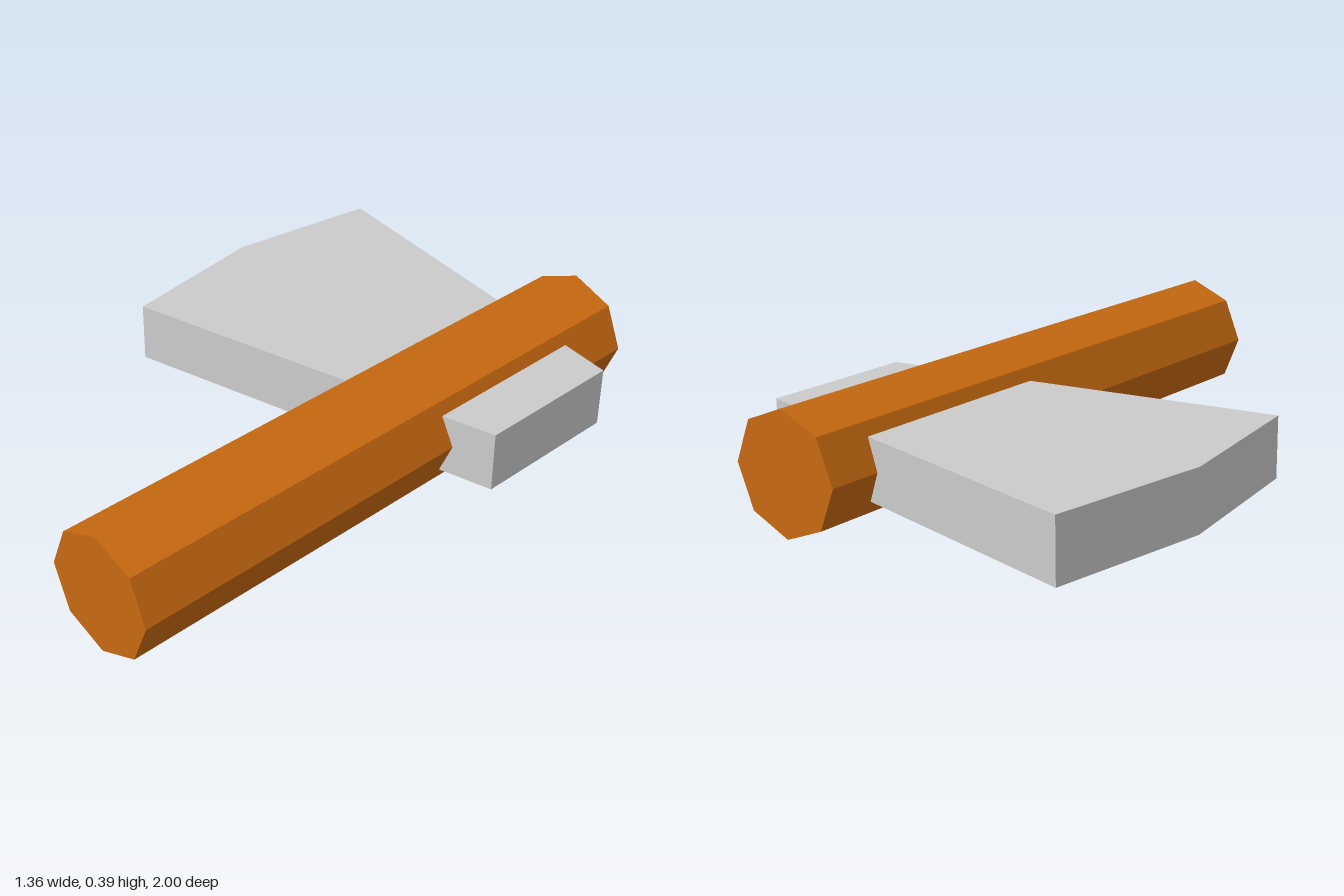
import * as THREE from 'three';

export function createModel() {
  const group = new THREE.Group();
  const wood = new THREE.MeshStandardMaterial({ color: 0xc86a10, flatShading: true });
  const metal = new THREE.MeshStandardMaterial({ color: 0xcccccc, flatShading: true });

  // Octagonal handle lying along z, one corner pointing straight up
  const handle = new THREE.Mesh(new THREE.CylinderGeometry(0.193, 0.193, 2, 8), wood);
  handle.name = 'handle';
  handle.rotation.x = Math.PI / 2;
  handle.position.set(0.352, 0.195, 0);
  group.add(handle);

  // Axe head: a flat wedge through the handle, flaring to a pointed cutting edge
  const midZ = -0.47;
  const outline = [[0.68, -0.256], [0.68, 0.256], [-0.603, 0.512], [-0.68, 0], [-0.603, -0.512]];
  const shape = new THREE.Shape(outline.map(([x, y]) => new THREE.Vector2(x, y)));
  const thickness = 0.193;
  const geometry = new THREE.ExtrudeGeometry(shape, { depth: thickness, bevelEnabled: false });
  geometry.rotateX(-Math.PI / 2);
  const head = new THREE.Mesh(geometry, metal);
  head.name = 'axeHead';
  head.position.set(0, 0.195 - thickness / 2, midZ);
  group.add(head);

  return group;
}
